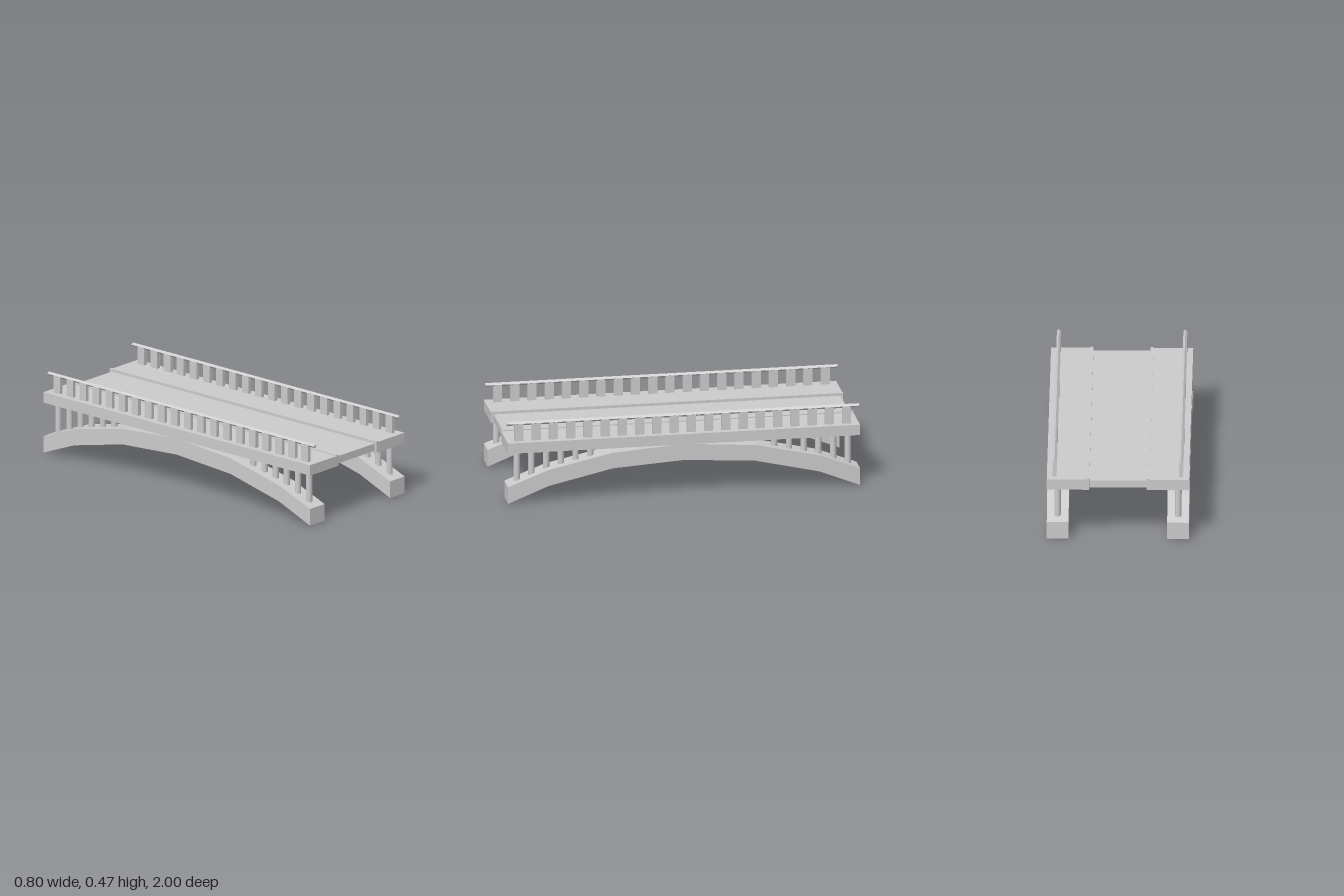
import * as THREE from 'three';

const material = new THREE.MeshStandardMaterial({ color: 0xcccccc });

// Arch kinks for one half: [z, underside y, top y]
const ARCH = [[1, 0, 0.098], [0.77, 0.092, 0.187], [0.405, 0.176, 0.268], [0, 0.203, 0.298]];

function archTop(z) {
  const d = Math.abs(z);
  for (let i = 0; i < ARCH.length - 1; i++) {
    const [z0, , y0] = ARCH[i], [z1, , y1] = ARCH[i + 1];
    if (d >= z1) return THREE.MathUtils.mapLinear(d, z0, z1, y0, y1);
  }
}

function add(parent, name, geometry, x = 0, y = 0, z = 0) {
  const mesh = new THREE.Mesh(geometry, material);
  mesh.name = name;
  mesh.position.set(x, y, z);
  parent.add(mesh);
  return mesh;
}

// Box given by its limits in x and y, centred on z
function slab(parent, name, x0, x1, y0, y1, length) {
  return add(parent, name, new THREE.BoxGeometry(x1 - x0, y1 - y0, length), (x0 + x1) / 2, (y0 + y1) / 2);
}

function archGeometry(width) {
  const mirrored = ARCH.slice(0, -1).reverse().map(([z, b, t]) => [-z, b, t]);
  const all = [...ARCH, ...mirrored];
  const outline = [
    ...all.map(([z, b]) => new THREE.Vector2(z, b)),
    ...all.reverse().map(([z, , t]) => new THREE.Vector2(z, t)),
  ];
  const geometry = new THREE.ExtrudeGeometry(new THREE.Shape(outline), { depth: width, bevelEnabled: false });
  return geometry.translate(0, 0, -width / 2).rotateY(-Math.PI / 2);
}

function createSide(s) {
  const side = new THREE.Group();
  side.name = s > 0 ? 'leftSide' : 'rightSide';

  // Raised walkway with a thin curb on its inner edge
  const span = (a, b) => (s > 0 ? [a, b] : [-b, -a]);
  slab(side, 'walkway', ...span(0.16, 0.398), 0.294, 0.355, 2);
  slab(side, 'curb', ...span(0.16, 0.176), 0.354, 0.361, 2);

  // Segmented arch below the walkway
  add(side, 'arch', archGeometry(0.122), s * 0.337);

  // Round columns between arch and walkway, six at each end
  const columns = new THREE.Group();
  columns.name = 'columns';
  for (const end of [1, -1]) {
    for (let i = 0; i < 6; i++) {
      const z = end * (0.94 - i * 0.0835);
      const bottom = archTop(z) - 0.01, height = 0.3 - bottom;
      add(columns, 'column', new THREE.CylinderGeometry(0.018, 0.018, height, 20), s * 0.338, bottom + height / 2, z);
    }
  }
  side.add(columns);

  // Railing: square posts under a diamond-section handrail
  const railing = new THREE.Group();
  railing.name = 'railing';
  const post = new THREE.BoxGeometry(0.022, 0.105, 0.05);
  for (let i = 0; i < 20; i++) {
    add(railing, 'railingPost', post, s * 0.354, 0.4025, -0.93 + (i * 1.86) / 19);
  }
  const rail = add(railing, 'handrail', new THREE.BoxGeometry(0.016, 0.016, 2), s * 0.354, 0.456, 0);
  rail.rotation.z = Math.PI / 4;
  side.add(railing);
  return side;
}

export function createModel() {
  const bridge = new THREE.Group();
  bridge.name = 'bridge';
  slab(bridge, 'roadDeck', -0.161, 0.161, 0.302, 0.345, 1.97);
  bridge.add(createSide(1), createSide(-1));
  return bridge;
}
